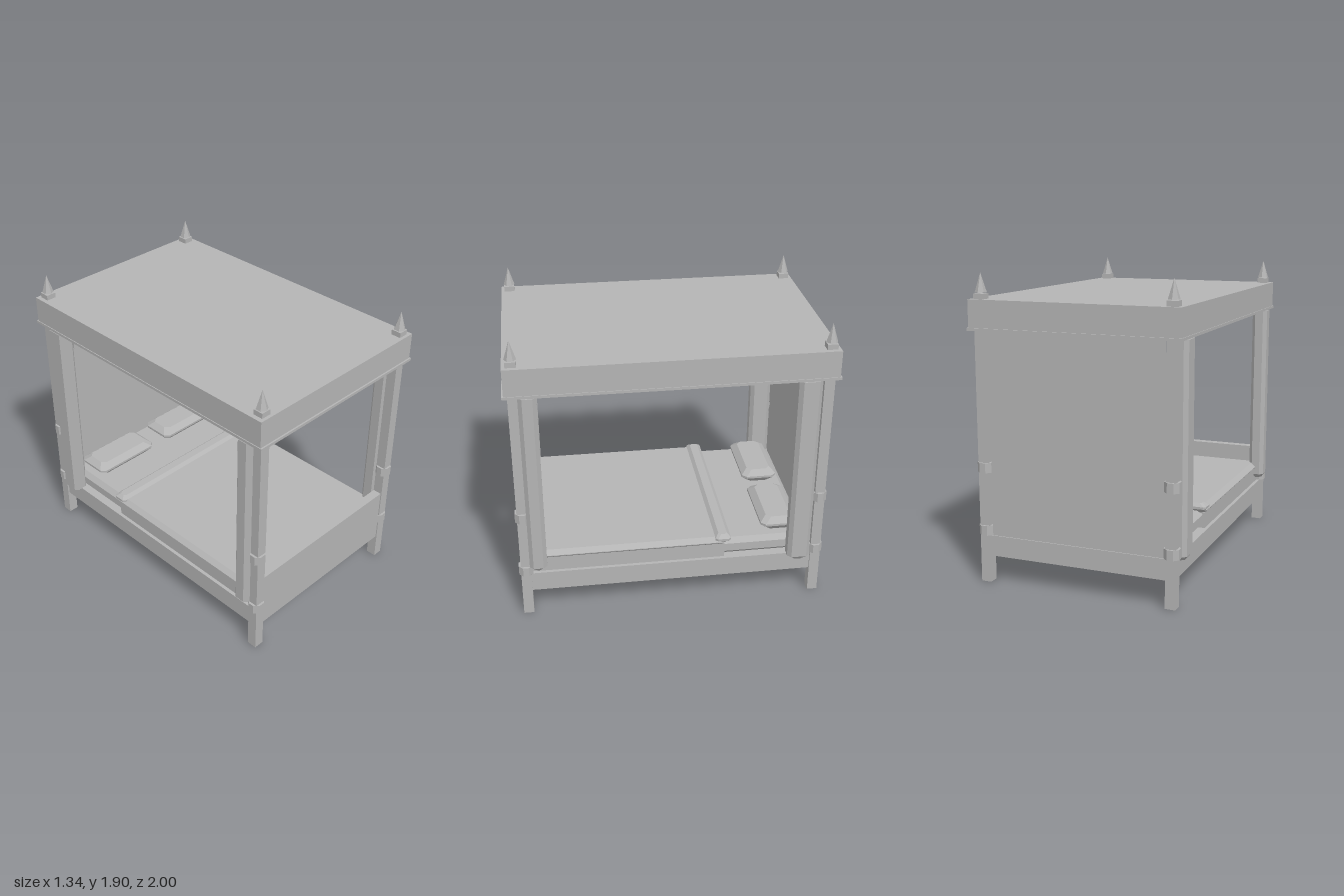
import * as THREE from 'three';

const grey = new THREE.MeshStandardMaterial({ color: 0xb4b4b4, flatShading: true });
grey.name = 'plain grey';

// Stacked eight-cornered rings, layers = [y, width, depth], cut = corner chamfer
function stack(layers, cut) {
  const pos = [];
  const rings = layers.map(([y, w, d]) => {
    const x = w / 2, z = d / 2, c = cut;
    return [[x, z - c], [x - c, z], [c - x, z], [-x, z - c], [-x, c - z], [c - x, -z], [x - c, -z], [x, c - z]]
      .map(([px, pz]) => [px, y, pz]);
  });
  const tri = (...p) => p.forEach(v => pos.push(...v));
  for (let i = 0; i < 8; i++) {
    const j = (i + 1) % 8;
    for (let k = 0; k + 1 < rings.length; k++) {
      const a = rings[k], b = rings[k + 1];
      tri(a[i], b[i], b[j]);
      tri(a[i], b[j], a[j]);
    }
    const bottom = rings[0], top = rings[rings.length - 1];
    tri([0, bottom[0][1], 0], bottom[i], bottom[j]);
    tri([0, top[0][1], 0], top[j], top[i]);
  }
  const g = new THREE.BufferGeometry();
  g.setAttribute('position', new THREE.Float32BufferAttribute(pos, 3));
  g.computeVertexNormals();
  return g;
}

export function createModel() {
  const model = new THREE.Group();
  model.name = 'canopyBed';
  const add = (name, geometry, x = 0, y = 0, z = 0) => {
    const m = new THREE.Mesh(geometry, grey);
    m.name = name;
    m.position.set(x, y, z);
    model.add(m);
    return m;
  };
  // Box given by its lower and upper limits
  const box = (name, x0, x1, y0, y1, z0, z1) => add(name,
    new THREE.BoxGeometry(x1 - x0, y1 - y0, z1 - z0), (x0 + x1) / 2, (y0 + y1) / 2, (z0 + z1) / 2);

  // Corner posts with bands, caps, finials and gathered curtains
  for (const sx of [-1, 1]) {
    for (const sz of [-1, 1]) {
      const x = sx * 0.604, z = sz * 0.937;
      add('post', new THREE.BoxGeometry(0.065, 1.62, 0.065), x, 0.81, z);
      add('postCap', new THREE.BoxGeometry(0.065, 0.035, 0.065), x, 1.76, z);
      add('finial', new THREE.ConeGeometry(0.036, 0.117, 6), x, 1.8415, z);
      for (const y of [0.30, 0.695])
        add('postBand', stack([[y, 0.094, 0.09], [y + 0.062, 0.094, 0.09]], 0.027), x, 0, z);
      const front = sz > 0;
      const base = front ? 0.335 : 0.265, depth = front ? 0.11 : 0.145;
      add('curtain', stack([[base, 0.06, depth - 0.06], [base + 0.03, 0.104, depth], [1.556, 0.104, depth]], 0.024),
        sx * 0.618, 0, front ? 0.857 : -0.82);
    }
    // Canopy valance and moulding along the sides
    box('sideValance', sx * 0.6525 - 0.0125, sx * 0.6525 + 0.0125, 1.575, 1.745, -0.99, 0.99);
    box('sideMoulding', sx * 0.655 - 0.015, sx * 0.655 + 0.015, 1.56, 1.577, -1, 1);
    // Pillows
    add('pillow', stack([[0.415, 0.40, 0.16], [0.46, 0.48, 0.24], [0.475, 0.48, 0.24], [0.51, 0.40, 0.16]], 0.03),
      sx * 0.30, 0, -0.715);
  }

  // Canopy roof and end valances
  box('canopyRoof', -0.665, 0.665, 1.73, 1.745, -0.99, 0.99);
  for (const s of [-1, 1]) {
    box('endValance', -0.665, 0.665, 1.575, 1.745, s * 0.9775 - 0.0125, s * 0.9775 + 0.0125);
    box('endMoulding', -0.67, 0.67, 1.56, 1.577, s * 0.985 - 0.015, s * 0.985 + 0.015);
  }

  // Bed frame, footboard and back panel
  box('bedFrame', -0.625, 0.625, 0.17, 0.30, -0.905, 0.905);
  box('footboard', -0.572, 0.572, 0.17, 0.545, 0.905, 0.962);
  box('backRail', -0.572, 0.572, 0.17, 0.30, -0.962, -0.90);
  box('backPanel', -0.556, 0.556, 0.30, 1.575, -0.955, -0.93);

  // Stepped headboard
  const outline = new THREE.Shape();
  const steps = [[0.57, 0.30], [0.57, 1.33], [0.475, 1.33], [0.475, 1.385], [0.34, 1.385], [0.34, 1.435], [0.21, 1.435], [0.21, 1.49]];
  const mirrored = steps.map(([x, y]) => [-x, y]).reverse();
  outline.setFromPoints([...steps, ...mirrored].map(p => new THREE.Vector2(...p)));
  add('headboard', new THREE.ExtrudeGeometry(outline, { depth: 0.04, bevelEnabled: false }), 0, 0, -0.93);

  // Bedding
  add('mattress', stack([[0.30, 1.12, 1.72], [0.33, 1.18, 1.78], [0.385, 1.18, 1.78], [0.417, 1.12, 1.72]], 0.02), 0, 0, 0);
  box('blanketSides', -0.603, 0.603, 0.30, 0.402, -0.34, 0.895);
  add('blanketTop', stack([[0.40, 1.206, 1.22], [0.413, 1.23, 1.24], [0.418, 1.23, 1.24], [0.445, 1.17, 1.18]], 0.015), 0, 0, 0.275);
  add('blanketFold', stack([[0.40, 1.17, 0.04], [0.43, 1.24, 0.10], [0.445, 1.24, 0.10], [0.465, 1.18, 0.055]], 0.015), 0, 0, -0.33);

  return model;
}
